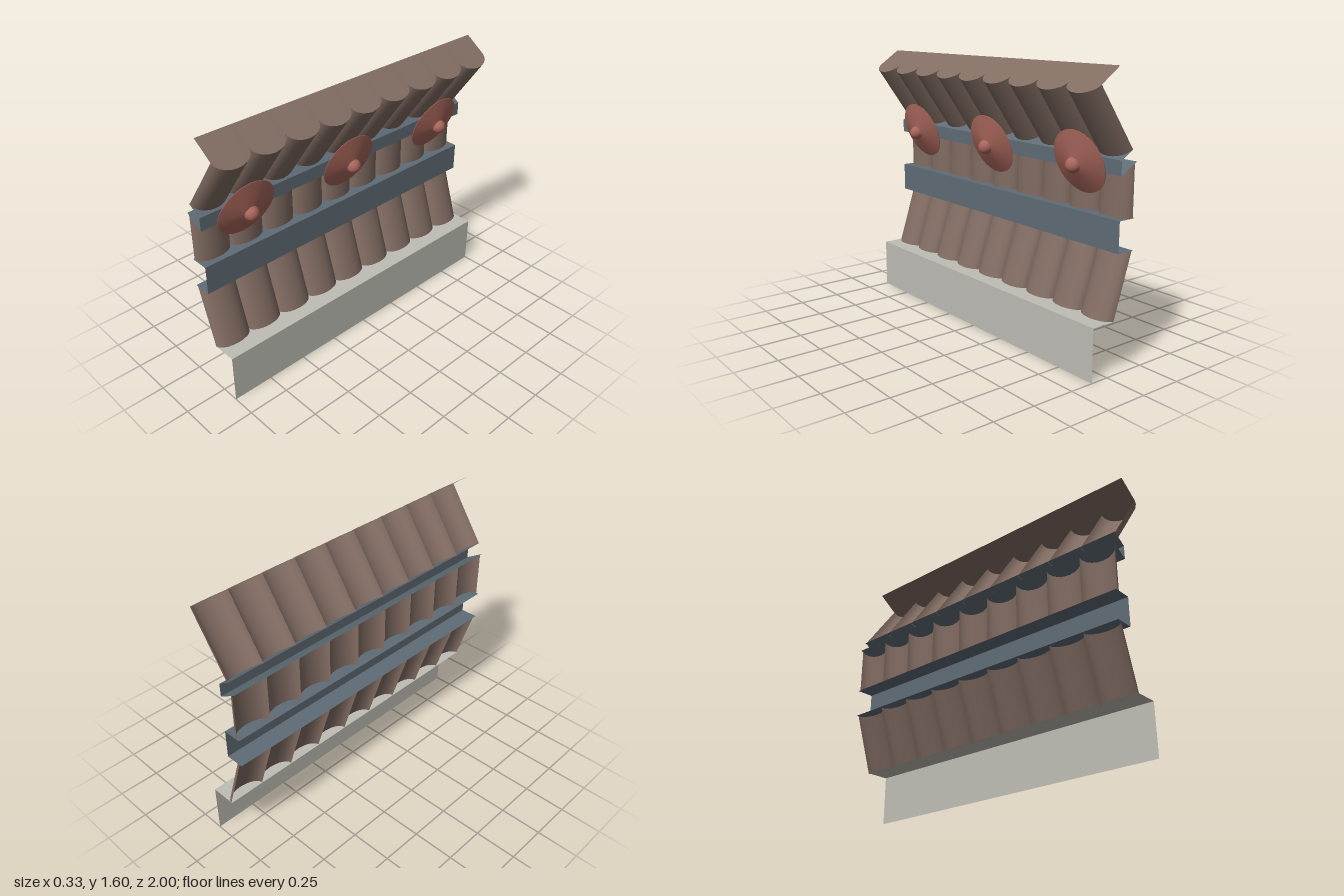
import * as THREE from 'three';

const HALF = 1;        // half length along z
const TILES = 9;       // scallops per row
const ARC = 10;        // segments per scallop

const paint = (color) => new THREE.MeshStandardMaterial({ color, side: THREE.DoubleSide });
const brown = paint(0x826d63), blue = paint(0x5f6c76), stone = paint(0xbebdb5), red = paint(0xa8665b);

// Quad rows: each section is a [lower, upper] pair of points, running from +z to -z
function loft(pairs) {
  const pos = [], idx = [];
  pairs.forEach(([lo, up], i) => {
    pos.push(...lo, ...up);
    const a = 2 * i;
    if (i < pairs.length - 1) idx.push(a, a + 2, a + 3, a, a + 3, a + 1);
  });
  const g = new THREE.BufferGeometry();
  g.setAttribute('position', new THREE.Float32BufferAttribute(pos, 3));
  g.setIndex(idx);
  g.computeVertexNormals();
  return g;
}

// Open moulding: an xy profile carried along z, one flat face per profile edge
function moulding(name, profile, material) {
  const group = new THREE.Group();
  group.name = name;
  for (let i = 0; i < profile.length - 1; i++) {
    const [p, q] = [profile[i], profile[i + 1]];
    const mesh = new THREE.Mesh(loft([HALF, -HALF].map((z) => [[...p, z], [...q, z]])), material);
    mesh.name = name + 'Face';
    group.add(mesh);
  }
  return group;
}

// Row of half-round flutes; each end has a cusp point and a bulge vector
function fluteRow(name, low, lowBulge, top, topBulge) {
  const group = new THREE.Group();
  group.name = name;
  const r = HALF / TILES, pairs = [];
  const at = (p, b, s, z) => [p[0] + b[0] * s, p[1] + b[1] * s, z];
  for (let i = 0; i <= ARC; i++) {
    const t = (Math.PI * i) / ARC, s = Math.sin(t), z = r * Math.cos(t);
    pairs.push([at(low, lowBulge, s, z), at(top, topBulge, s, z)]);
  }
  const geometry = loft(pairs);
  for (let i = 0; i < TILES; i++) {
    const flute = new THREE.Mesh(geometry, brown);
    flute.name = name + 'Flute';
    flute.position.z = -HALF + r * (2 * i + 1);
    group.add(flute);
  }
  return group;
}

// Shallow cone with a ball in the middle, tipped slightly downward
function rosette(z) {
  const group = new THREE.Group();
  group.name = 'rosette';
  const profile = [[0, 0.03], [0.176, 0], [0.181, 0.003], [0.18, 0.008], [0.05, 0.043], [0, 0.054]]
    .map(([x, y]) => new THREE.Vector2(x, y));
  const disc = new THREE.Mesh(new THREE.LatheGeometry(profile, 40), red);
  disc.name = 'rosetteDisc';
  const ball = new THREE.Mesh(new THREE.SphereGeometry(0.043, 20, 14), red);
  ball.name = 'rosetteBall';
  ball.position.y = 0.05;
  group.add(disc, ball);
  group.position.set(-0.032, 1.098, z);
  group.rotation.z = -(Math.PI / 2 + 0.32);
  return group;
}

export function createModel() {
  const model = new THREE.Group();
  model.name = 'flutedCornice';
  const roofBulge = [0.063, -0.043];

  // Plinth, open at the back and underneath
  model.add(moulding('plinth', [[0.11, 0], [0.11, 0.3], [-0.04, 0.3]], stone));
  // Sloping lower flutes
  model.add(fluteRow('lowerFlutes', [-0.035, 0.298], [0.06, 0], [-0.15, 0.655], [0.06, 0]));
  // Main band
  model.add(moulding('band', [[-0.165, 0.655], [-0.055, 0.655], [-0.055, 0.827], [-0.165, 0.827]], blue));
  // Upright middle flutes with a mitred top
  model.add(fluteRow('middleFlutes', [-0.15, 0.827], [0.06, 0], [-0.15, 1.11], [0.06, -0.035]));
  // Narrow band between the mitres
  model.add(moulding('narrowBand', [[-0.165, 1.119], [-0.055, 1.055], [-0.055, 1.135], [-0.135, 1.186]], blue));
  // Overhanging upper flutes
  model.add(fluteRow('upperFlutes', [-0.133, 1.182], roofBulge, [0.102, 1.515], roofBulge));
  // Scalloped cap, square to the upper flutes
  model.add(fluteRow('cap', [0.102, 1.515], roofBulge, [-0.02, 1.6], [0, 0]));
  // Rosettes
  for (const z of [-0.73, 0, 0.73]) model.add(rosette(z));
  return model;
}
